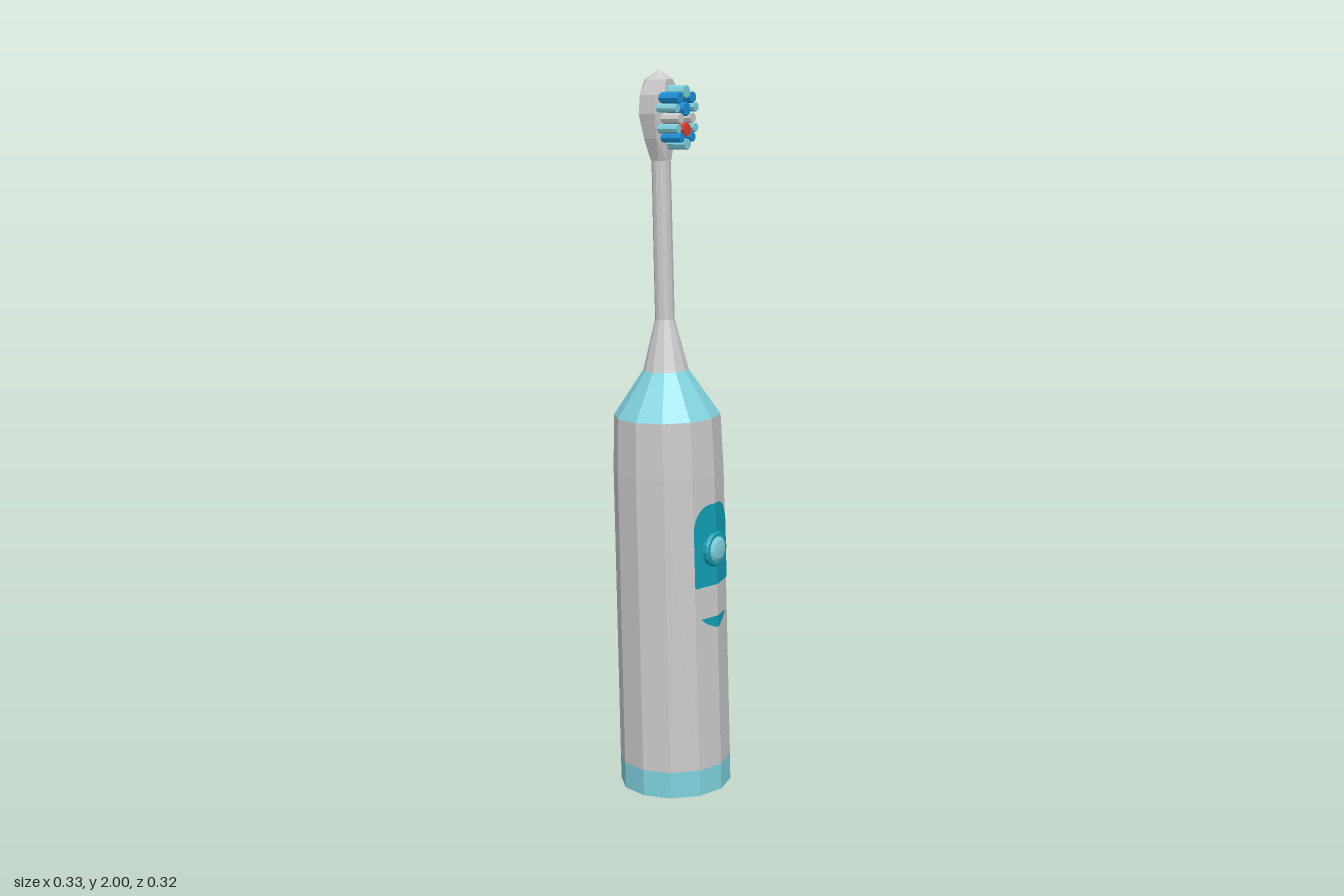
import * as THREE from 'three';

const GREY = 0xcccccc, CYAN = 0x80d2de, TEAL = 0x12a0b6, BLUE = 0x1b90d8, RED = 0xdd4030, PALE = 0xdddddd;
const SIDES = 12;

function part(parent, name, geometry, color) {
  const material = new THREE.MeshStandardMaterial({ color });
  material.flatShading = true;
  const mesh = new THREE.Mesh(geometry, material);
  mesh.name = name;
  parent.add(mesh);
  return mesh;
}

const lathe = (profile, sides = SIDES, start = 0) =>
  new THREE.LatheGeometry(profile.map(([r, y]) => new THREE.Vector2(r, y)), sides, start);

// Thin inlay folded over the body's +x edge; rows are [height, half width], bottom up
function inlay(rows, lift) {
  const pos = [], index = [];
  rows.forEach(([y, w], i) => {
    const edge = 0.157 - 0.004 * y + lift;
    for (const s of [w, 0, -w]) pos.push(edge - Math.abs(s) * Math.tan(Math.PI / 12), y, s);
    if (i === 0) return;
    for (let c = 0; c < 2; c++) {
      const a = (i - 1) * 3 + c, b = a + 3;
      index.push(a, a + 1, b + 1, a, b + 1, b);
    }
  });
  const g = new THREE.BufferGeometry();
  g.setAttribute('position', new THREE.Float32BufferAttribute(pos, 3));
  g.setIndex(index);
  g.computeVertexNormals();
  return g;
}

export function createModel() {
  const model = new THREE.Group();
  model.name = 'electricToothbrush';

  // The whole brush leans very slightly and is turned a few degrees
  const lean = new THREE.Group();
  lean.name = 'leaningBrush';
  lean.position.set(0.005, 0.003, -0.002);
  lean.rotation.set(0.017, 0, 0.0165);
  model.add(lean);
  const brush = new THREE.Group();
  brush.name = 'brush';
  brush.rotation.y = -0.078;
  lean.add(brush);

  // Handle
  part(brush, 'baseBand', lathe([[0, 0], [0.157, 0], [0.157, 0.075]]), CYAN);
  part(brush, 'handle', lathe([[0.157, 0.075], [0.1535, 0.91], [0.148, 1.065]]), GREY);
  part(brush, 'shoulder', lathe([[0.148, 1.065], [0.063, 1.19]]), CYAN);
  part(brush, 'neck', lathe([[0.063, 1.19], [0.027, 1.33], [0.026, 1.77]]), GREY);

  // Control panel: arched plate, display window, rounded lower tip
  const arch = [[0.6, 0.078]];
  for (let i = 0; i <= 6; i++) {
    const a = (i / 6) * Math.PI / 2;
    arch.push([0.76 + 0.07 * Math.sin(a), 0.018 + 0.06 * Math.cos(a)]);
  }
  part(brush, 'controlPanel', inlay(arch, 0.002), TEAL);
  part(brush, 'displayWindow', inlay([[0.51, 0.06], [0.6, 0.06]], 0.0015), PALE);
  part(brush, 'panelTip', inlay([[0.478, 0.008], [0.492, 0.038], [0.51, 0.06]], 0.002), TEAL);
  part(brush, 'chargeIndicator', inlay([[0.105, 0.04], [0.14, 0.04]], 0.0015), PALE);

  // Round power button, facing +x
  const button = new THREE.Group();
  button.name = 'powerButton';
  button.position.set(0.14, 0.7, 0);
  button.rotation.z = -Math.PI / 2;
  brush.add(button);
  part(button, 'buttonRing', lathe([[0.05, 0], [0.05, 0.014], [0.045, 0.019], [0.036, 0.019]], 16), TEAL);
  part(button, 'buttonCap', lathe([[0.037, 0.01], [0.036, 0.021], [0.026, 0.027], [0, 0.03]], 16), CYAN);

  // Head: faceted egg, flattened front and back
  const headGeometry = lathe([[0.028, 1.76], [0.052, 1.82], [0.067, 1.885], [0.062, 1.935], [0.04, 1.975], [0, 2]], 8, Math.PI / 8);
  const p = headGeometry.attributes.position;
  for (let i = 0; i < p.count; i++) p.setX(i, THREE.MathUtils.clamp(p.getX(i), -0.041, 0.033));
  headGeometry.computeVertexNormals();
  part(brush, 'brushHead', headGeometry, GREY);

  // Bristle tufts: [height, sideways offset, radius, colour], mirrored when off-centre
  const tufts = [
    [1.942, 0, 0.017, CYAN], [1.926, 0.03, 0.015, BLUE], [1.9, 0.044, 0.012, CYAN],
    [1.896, 0, 0.018, BLUE], [1.872, 0.027, 0.014, GREY], [1.846, 0.04, 0.012, CYAN],
    [1.842, 0, 0.018, RED], [1.822, 0.025, 0.013, BLUE], [1.804, 0, 0.015, CYAN],
  ];
  for (const [y, z, r, color] of tufts) {
    for (const side of z ? [1, -1] : [1]) {
      const tuft = part(brush, 'bristleTuft', new THREE.CylinderGeometry(r, r, 0.062, 8), color);
      tuft.rotation.z = -Math.PI / 2;
      tuft.position.set(0.057, y, z * side);
    }
  }
  return model;
}
